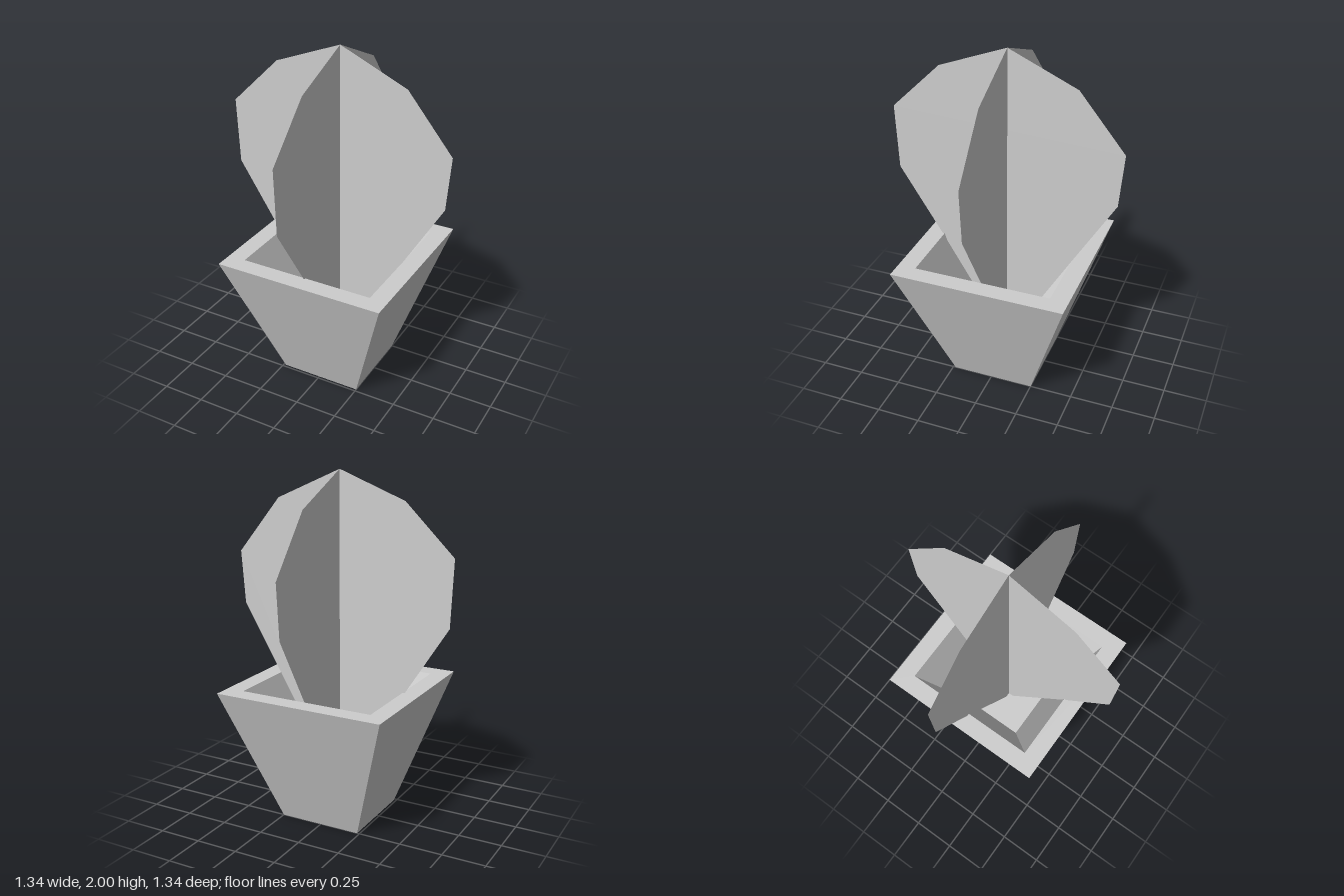
import * as THREE from 'three';

export function createModel() {
  const model = new THREE.Group();
  model.name = 'pottedPlant';
  const grey = new THREE.MeshStandardMaterial({ color: 0xcccccc, flatShading: true, side: THREE.DoubleSide });
  grey.name = 'grey';

  // Both parts share an axis slightly off the centre
  const AXIS_X = 0.007, AXIS_Z = -0.008;
  const add = (geometry, name, turn = 0) => {
    const mesh = new THREE.Mesh(geometry, grey);
    mesh.name = name;
    mesh.position.set(AXIS_X, 0, AXIS_Z);
    mesh.rotation.y = turn;
    model.add(mesh);
  };

  // Square tapered pot: [half width, height] from the base, over the rim, to the inner floor
  const profile = [[0, 0], [0.243, 0], [0.502, 0.79], [0.397, 0.79], [0.193, 0.16], [0, 0.16]]
    .map(([half, y]) => new THREE.Vector2(half * Math.SQRT2, y));
  const pot = new THREE.LatheGeometry(profile, 4, Math.PI / 4).toNonIndexed();
  pot.computeVertexNormals();
  add(pot, 'pot');

  // Flat leaf outline, narrowing down into the pot
  const outline = [
    [0, 2], [-0.393, 1.85], [-0.68, 1.57], [-0.664, 1.19], [-0.41, 0.79], [-0.03, 0.16],
    [0.03, 0.16], [0.398, 0.79], [0.635, 1.19], [0.659, 1.5], [0.393, 1.825],
  ].map(([x, y]) => new THREE.Vector2(x, y));
  const leaf = new THREE.ShapeGeometry(new THREE.Shape(outline));

  // Two crossed leaves
  add(leaf, 'frontLeaf');
  add(leaf, 'sideLeaf', Math.PI / 2);
  return model;
}
